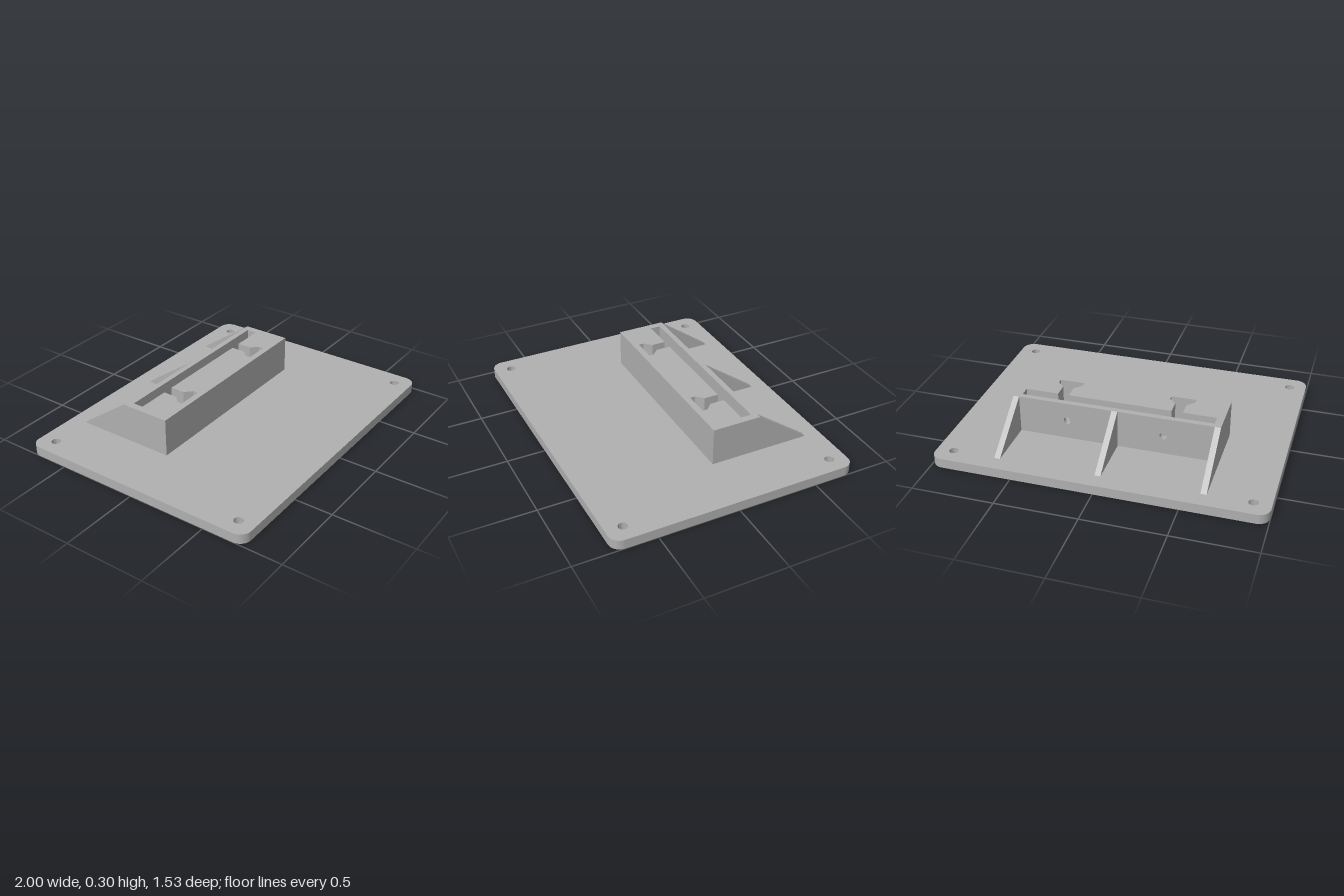
import * as THREE from 'three';
import { toCreasedNormals } from 'three/addons/utils/BufferGeometryUtils.js';

const PLATE_TOP = 0.06, BLOCK_TOP = 0.297;
const HALF = 0.635, BACK = -0.335, SLOT_BACK = -0.3, FRONT = -0.03;

export function createModel() {
  const model = new THREE.Group();
  const grey = new THREE.MeshStandardMaterial({ color: 0xb0b0b0 });
  grey.name = 'grey';

  const add = (name, geometry) => {
    const mesh = new THREE.Mesh(toCreasedNormals(geometry, 0.6), grey);
    mesh.name = name;
    model.add(mesh);
    return mesh;
  };
  const extrude = (shape, depth) =>
    new THREE.ExtrudeGeometry(shape, { depth, bevelEnabled: false, curveSegments: 12 });
  // Outline given as [x, z], raised from y0 to y1
  const raise = (shape, y0, y1) => extrude(shape, y1 - y0).rotateX(-Math.PI / 2).translate(0, y0, 0);
  const outline = (points) => new THREE.Shape(points.map(([x, z]) => new THREE.Vector2(x, -z)));
  const hole = (x, y, r) => new THREE.Path().absarc(x, y, r, 0, Math.PI * 2, true);

  // Base plate with rounded corners and four screw holes
  const w = 1, d = 0.765, r = 0.07;
  const plate = new THREE.Shape();
  plate.absarc(w - r, d - r, r, 0, Math.PI / 2);
  plate.absarc(r - w, d - r, r, Math.PI / 2, Math.PI);
  plate.absarc(r - w, r - d, r, Math.PI, Math.PI * 1.5);
  plate.absarc(w - r, r - d, r, Math.PI * 1.5, Math.PI * 2);
  plate.closePath();
  for (const x of [-0.895, 0.895])
    for (const z of [-0.66, 0.66]) plate.holes.push(hole(x, z, 0.028));
  add('basePlate', raise(plate, 0, PLATE_TOP));

  // Block body: a long slot at the back with two flared keyways opening forward
  const keyway = (c) => [
    [c - 0.034, -0.235], [c - 0.034, -0.145], [c - 0.077, -0.102], [c - 0.077, -0.07],
    [c + 0.077, -0.07], [c + 0.077, -0.102], [c + 0.034, -0.145], [c + 0.034, -0.235],
  ];
  const body = outline([
    [-HALF, FRONT], [HALF, FRONT], [HALF, SLOT_BACK], [0.59, SLOT_BACK], [0.59, -0.235],
    ...keyway(0.353).reverse(), ...keyway(-0.353).reverse(),
    [-0.59, -0.235], [-0.59, SLOT_BACK], [-HALF, SLOT_BACK],
  ]);
  add('slottedBlock', raise(body, PLATE_TOP, BLOCK_TOP));

  // Back wall of the slot with two small holes
  const wall = new THREE.Shape([
    new THREE.Vector2(-HALF, PLATE_TOP), new THREE.Vector2(HALF, PLATE_TOP),
    new THREE.Vector2(HALF, BLOCK_TOP), new THREE.Vector2(-HALF, BLOCK_TOP),
  ]);
  for (const x of [-0.297, 0.297]) wall.holes.push(hole(x, 0.18, 0.022));
  add('backWall', extrude(wall, SLOT_BACK - BACK).translate(0, 0, BACK));

  // Triangular ribs bracing the back wall
  const t = 0.036;
  const triangle = new THREE.Shape([
    new THREE.Vector2(-BACK, PLATE_TOP), new THREE.Vector2(0.665, PLATE_TOP),
    new THREE.Vector2(-BACK, BLOCK_TOP),
  ]);
  for (const [name, x] of [['rightRib', -HALF + t / 2], ['middleRib', 0], ['leftRib', HALF - t / 2]])
    add(name, extrude(triangle, t).translate(0, 0, -t / 2).rotateY(Math.PI / 2).translate(x, 0, 0));

  return model;
}
